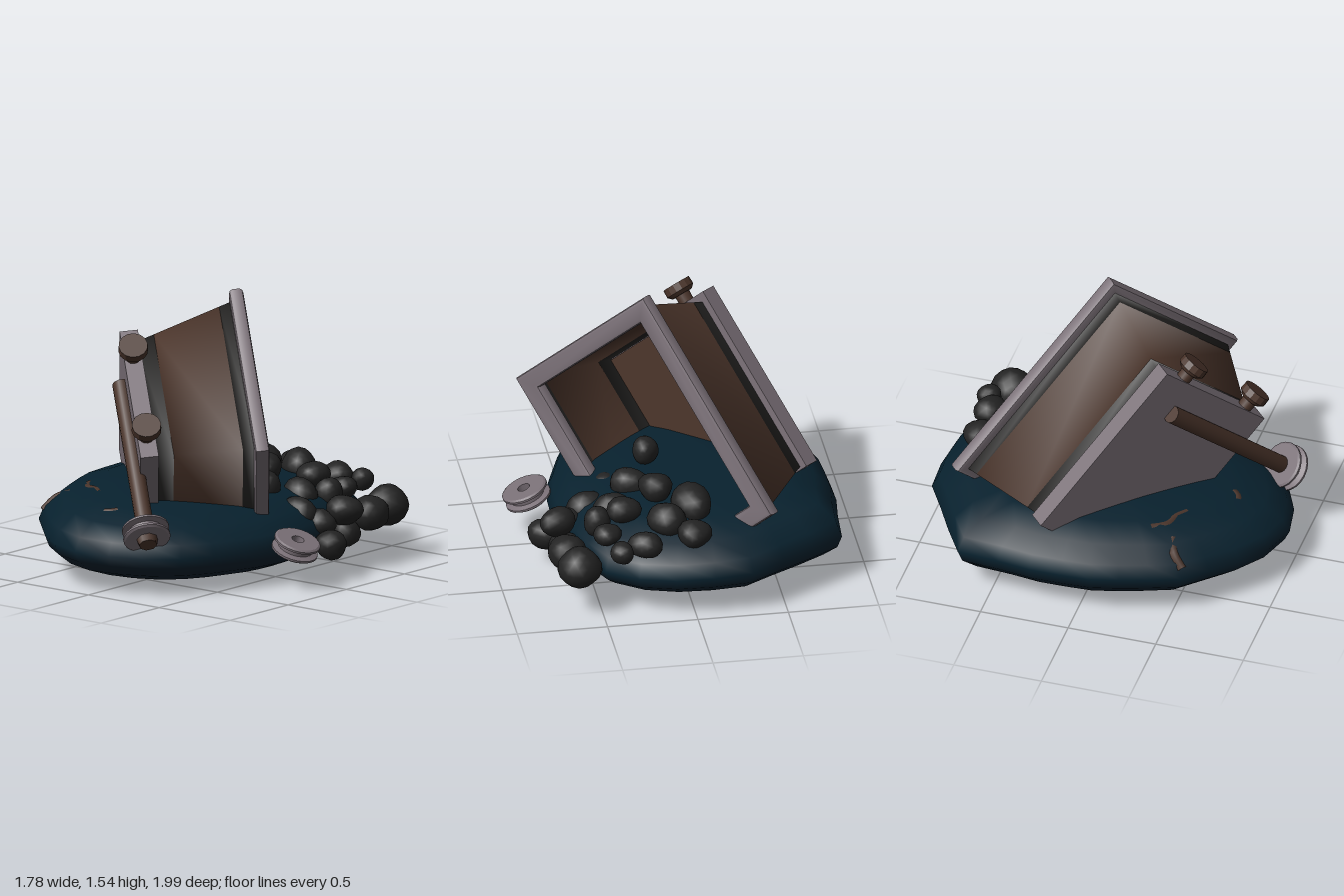
import * as THREE from 'three';
import { mergeVertices, toCreasedNormals } from 'three/addons/utils/BufferGeometryUtils.js';

const mat = (name, color, side = THREE.FrontSide) => {
  const m = new THREE.MeshStandardMaterial({ color, side });
  m.name = name;
  return m;
};

export function createModel() {
  const model = new THREE.Group();
  model.name = 'tippedMineCart';
  const steel = mat('steel grey', 0x7a7077);
  const wood = mat('brown wood', 0x4a342a, THREE.DoubleSide);
  const iron = mat('dark iron', 0x222120, THREE.DoubleSide);
  const coal = mat('coal', 0x232323);
  const earth = mat('dark blue earth', 0x08212e);
  const V = (x, y, z) => new THREE.Vector3(x, y, z);
  const UP = V(0, 1, 0);

  const add = (parent, name, geo, material, pos, dir) => {
    const mesh = new THREE.Mesh(geo, material);
    mesh.name = name;
    if (pos) mesh.position.copy(pos);
    if (dir) mesh.quaternion.setFromUnitVectors(UP, dir.clone().normalize());
    parent.add(mesh);
    return mesh;
  };
  // Weld a geometry, move its vertices by a rule and give it smooth normals
  const smooth = (geo, rule) => {
    geo.deleteAttribute('uv');
    geo.deleteAttribute('normal');
    const g = mergeVertices(geo, 1e-4);
    const p = g.attributes.position, v = V(0, 0, 0);
    for (let i = 0; i < p.count; i++) {
      rule(v.fromBufferAttribute(p, i));
      p.setXYZ(i, v.x, v.y, v.z);
    }
    g.computeVertexNormals();
    return g;
  };
  const lathe = (pts, sides, crease) =>
    toCreasedNormals(new THREE.LatheGeometry(pts.map(p => new THREE.Vector2(...p)), sides), crease);

  // Mound: a flat lathe pushed out to an irregular outline
  const outline = [0.99, 0.975, 0.95, 0.90, 0.835, 0.785, 0.77, 0.76, 0.765, 0.77,
    0.82, 0.89, 0.98, 1.005, 1.005, 1.0, 1.01, 0.965, 0.97, 1.01,
    0.885, 0.83, 0.79, 0.78, 0.77, 0.785, 0.83, 0.84, 0.89, 0.95];
  const profile = [[0, 0], [0.4, 0.008], [0.7, 0.045], [0.88, 0.105], [0.97, 0.17], [1, 0.235],
    [0.96, 0.31], [0.85, 0.385], [0.65, 0.435], [0.35, 0.46], [0, 0.46]].map(p => new THREE.Vector2(...p));
  const n = outline.length;
  const mound = add(model, 'mound', smooth(new THREE.LatheGeometry(profile, n), v => {
    const i = Math.round((Math.atan2(v.x, v.z) / (2 * Math.PI)) * n + n) % n;
    v.x = v.x * outline[i] - 0.1;
    v.z *= outline[i];
    v.y += v.y * (-0.13 * (v.x + 0.1) - 0.04 * v.z);
  }), earth);

  // Brown streaks barely breaking the surface of the mound, given as x, z
  const ray = new THREE.Raycaster();
  const streaks = [
    [[-0.54, 0.33], [-0.48, 0.41], [-0.42, 0.43], [-0.35, 0.48]],
    [[-0.68, 0.55], [-0.64, 0.49], [-0.56, 0.46]],
    [[-0.13, 0.70], [-0.10, 0.69], [-0.07, 0.66]],
  ];
  for (const pts of streaks) {
    const path = pts.map(([x, z]) => {
      ray.set(V(x, 2, z), V(0, -1, 0));
      return V(x, ray.intersectObject(mound)[0].point.y - 0.026, z);
    });
    add(model, 'mudStreak', new THREE.TubeGeometry(new THREE.CatmullRomCurve3(path), 10, 0.03, 8), wood);
  }

  // Tipped cart: local x and y lie in the opening, local z points out of it
  const u = V(0.569, -0.668, 0.479).normalize();
  const out = u.clone().cross(V(-0.435, -0.733, -0.522)).normalize();
  const v = out.clone().cross(u);
  const cart = new THREE.Group();
  cart.name = 'cart';
  cart.quaternion.setFromRotationMatrix(new THREE.Matrix4().makeBasis(u, v, out));
  cart.position.set(0.12, 0.663, -0.17);
  model.add(cart);

  // Rectangle whose lowest corner is cut off inside the mound
  const section = (a, b, z, k = 0.49) => {
    const c = k + 0.089 * z;
    return [[-a, -b], [a, -b], [a, (c - 0.668 * a) / 0.733], [(c - 0.733 * b) / 0.668, b], [-a, b]];
  };
  const shapeOf = pts => new THREE.Shape(pts.map(p => new THREE.Vector2(...p)));

  // Sloping smooth walls: iron band, wood, iron band
  const levels = [-0.53, -0.43, -0.06, 0.02];
  const ring = z => {
    const t = (z + 0.53) / 0.55;
    return section(0.385 + 0.113 * t, 0.52 + 0.128 * t, z).map(p => V(p[0], p[1], z));
  };
  for (let s = 0; s < 3; s++) {
    const index = [];
    for (let i = 0; i < 5; i++) {
      const j = (i + 1) % 5;
      index.push(i, j, j + 5, i, j + 5, i + 5);
    }
    const g = new THREE.BufferGeometry().setFromPoints([...ring(levels[s]), ...ring(levels[s + 1])]);
    g.setIndex(index);
    g.computeVertexNormals();
    add(cart, ['lowerBand', 'woodWalls', 'upperBand'][s], g, s === 1 ? wood : iron);
  }
  add(cart, 'cartFloor', new THREE.ShapeGeometry(shapeOf(section(0.385, 0.52, -0.5))), wood, V(0, 0, -0.505));

  // Bevelled rim around the opening
  const rim = shapeOf(section(0.525, 0.67, 0));
  rim.holes.push(shapeOf(section(0.453, 0.6, 0, 0.42)));
  add(cart, 'rim', toCreasedNormals(new THREE.ExtrudeGeometry(rim, {
    depth: 0.04, bevelThickness: 0.02, bevelSize: 0.02, bevelSegments: 2,
  }), 0.6), steel, V(0, 0, 0.02));

  // Underside plate
  add(cart, 'basePlate', new THREE.ExtrudeGeometry(shapeOf(section(0.425, 0.555, -0.6)),
    { depth: 0.1, bevelEnabled: false }), steel, V(-0.005, -0.015, -0.615));

  // Axle stubs: capped on the upper edge, broken on the lower one
  const cap = [[0, -0.033], [0.06, -0.033], [0.082, -0.012], [0.08, 0.033], [0, 0.033]];
  for (const x of [-0.25, 0.285]) {
    add(cart, 'axleStub', new THREE.CylinderGeometry(0.04, 0.045, 0.12, 12), wood, V(x, -0.585, -0.565));
    add(cart, 'axleCap', lathe(cap, 14, 0.4), wood, V(x, -0.653, -0.565), V(0, -1, 0));
  }
  add(cart, 'brokenStub', new THREE.CylinderGeometry(0.045, 0.03, 0.1, 8), wood, V(-0.25, 0.58, -0.565));

  // Grooved wheels
  const wheelGeo = lathe([[0.035, -0.042], [0.118, -0.042], [0.13, -0.034], [0.13, -0.022], [0.098, -0.012],
    [0.098, 0.012], [0.13, 0.022], [0.13, 0.034], [0.118, 0.042], [0.035, 0.042], [0.035, -0.042]], 22, 0.5);
  const hub = V(0.285, 0.36, 0.85);
  add(model, 'axleWheel', wheelGeo, steel, hub, u);
  add(model, 'looseWheel', wheelGeo, steel, V(0.76, 0.235, 0.14), V(0.37, 0.92, 0.03));

  // Fallen axle leaning on the plate
  const along = d => hub.clone().addScaledVector(u, d);
  add(model, 'fallenAxle', new THREE.CylinderGeometry(0.048, 0.05, 1.04, 14), wood, along(-0.48), u);
  add(model, 'axleEnd', new THREE.CylinderGeometry(0.05, 0.06, 0.04, 8), wood, along(0.06), u);

  // Spilled coal: x, y, z, radius
  const lumps = [
    [-0.02, 0.42, -0.81, 0.088], [0.12, 0.46, -0.67, 0.10], [-0.04, 0.46, -0.55, 0.12], [0.26, 0.40, -0.82, 0.085],
    [0.40, 0.38, -0.88, 0.065], [0.62, 0.28, -0.80, 0.12], [0.67, 0.27, -0.62, 0.105], [0.33, 0.46, -0.52, 0.085],
    [0.47, 0.38, -0.49, 0.08], [0.44, 0.38, -0.66, 0.07], [0.64, 0.20, -0.43, 0.09], [0.68, 0.33, -0.38, 0.09],
    [0.37, 0.38, -0.37, 0.10], [0.13, 0.49, -0.36, 0.09], [0.48, 0.32, -0.22, 0.10], [0.71, 0.17, -0.21, 0.09],
    [0.60, 0.27, -0.28, 0.08], [0.24, 0.43, -0.20, 0.10], [0.36, 0.38, -0.05, 0.055], [0.12, 0.51, 0.02, 0.075],
  ];
  lumps.forEach(([x, y, z, r], i) => {
    const geo = smooth(new THREE.IcosahedronGeometry(1, 2), p => {
      const { x: a, y: b, z: c } = p;
      const k = 1 + 0.07 * Math.sin(2.9 * a + i * 1.7) + 0.06 * Math.sin(3.1 * b + i * 2.9)
        + 0.07 * Math.sin(3 * c + i * 4.1);
      p.multiplyScalar(k * r).multiply(V(1.06, 0.92, 1));
    });
    add(model, 'coalLump', geo, coal, V(x, y, z)).rotation.y = i * 0.9;
  });

  return model;
}
